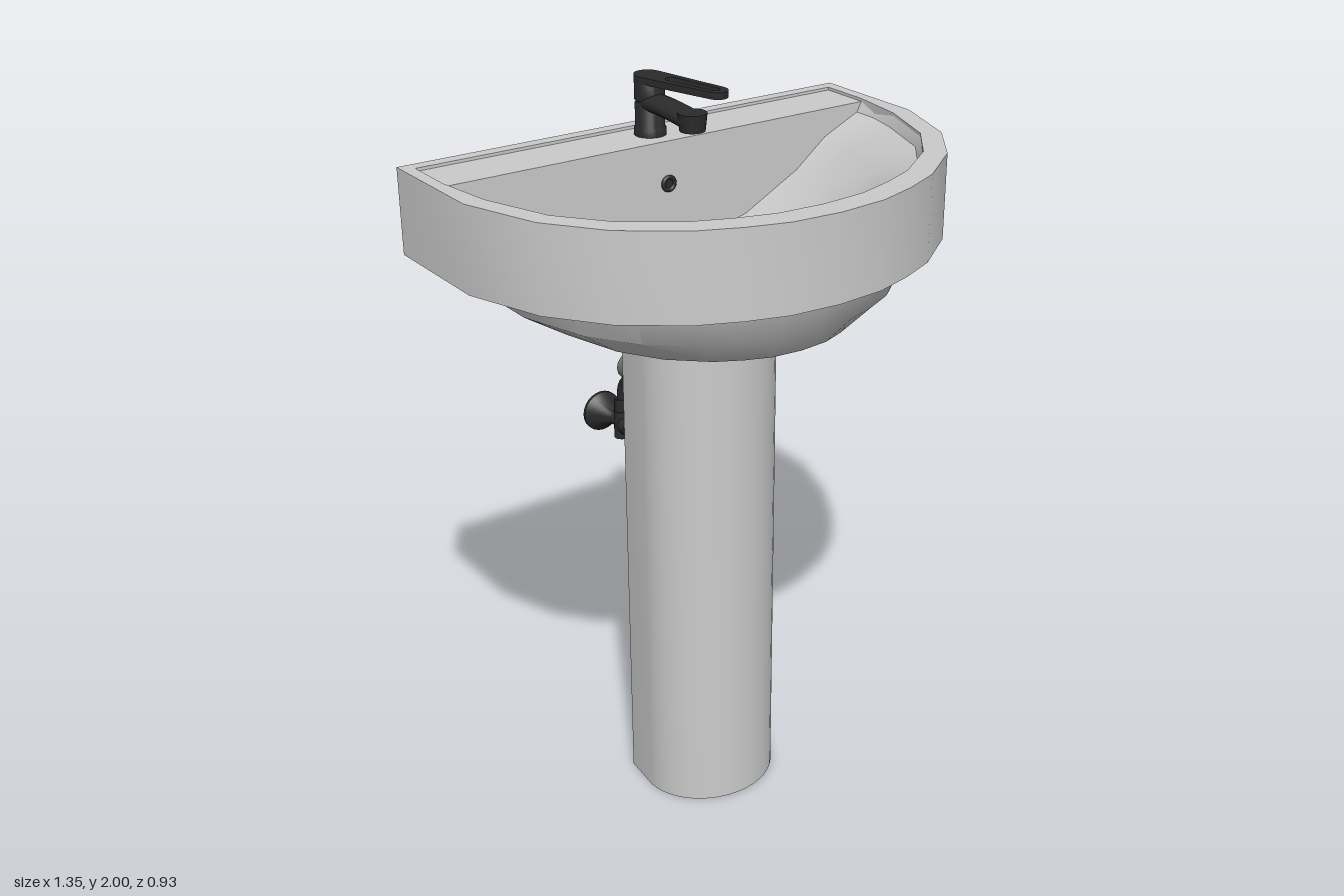
import * as THREE from 'three';
import { toCreasedNormals } from 'three/addons/utils/BufferGeometryUtils.js';

const V = (x, y, z) => new THREE.Vector3(x, y, z);
const ceramic = new THREE.MeshStandardMaterial({ color: 0xcccccc, side: THREE.DoubleSide });
const dark = new THREE.MeshStandardMaterial({ color: 0x2b2b2b, side: THREE.DoubleSide });
const pipeGrey = new THREE.MeshStandardMaterial({ color: 0x777777, side: THREE.DoubleSide });

// Half of the rounded front: [fraction of half width, fraction of front depth]
const FRONT = [[1, 0], [0.895, 0.38], [0.735, 0.64], [0.52, 0.835], [0.36, 0.92], [0.2, 0.98], [0, 1]];
const SIDE_Z = -0.09; // where the straight sides end

// D-shaped ring: straight back, straight sides, faceted curved front
function dRing(w, front, y, zs, backW = w) {
  const half = [...zs.map((z) => V(backW, y, z)),
    ...FRONT.map(([u, v]) => V(w * u, y, SIDE_Z + v * (front - SIDE_Z)))];
  const mirrored = half.slice(0, -1).reverse().map((p) => V(-p.x, p.y, p.z));
  return [...half, ...mirrored];
}

// Skin between closed rings, leaving out cells where skip(row, column) is true
function loft(rings, capped, skip = () => false) {
  const n = rings[0].length, index = [];
  const pos = rings.flatMap((r) => r.flatMap((p) => p.toArray()));
  for (let r = 0; r < rings.length - 1; r++) {
    for (let c = 0; c < n; c++) {
      if (skip(r, c)) continue;
      const a = r * n + c, b = r * n + (c + 1) % n;
      index.push(a, a + n, b, b, a + n, b + n);
    }
  }
  if (capped) {
    const last = rings.at(-1), mid = V(0, 0, 0);
    last.forEach((p) => mid.addScaledVector(p, 1 / n));
    pos.push(...mid.toArray());
    const base = (rings.length - 1) * n;
    for (let c = 0; c < n; c++) index.push(base + c, rings.length * n, base + (c + 1) % n);
  }
  const g = new THREE.BufferGeometry();
  g.setAttribute('position', new THREE.Float32BufferAttribute(pos, 3));
  g.setIndex(index);
  return toCreasedNormals(g, 0.5);
}

// Upright extrusion of a plan outline
function extrudePlan(points, holePoints, y, height) {
  const flat = (pts) => pts.map((p) => new THREE.Vector2(p.x, -p.z));
  const shape = new THREE.Shape(flat(points));
  if (holePoints) shape.holes.push(new THREE.Path(flat(holePoints)));
  const g = new THREE.ExtrudeGeometry(shape, { depth: height, bevelEnabled: false });
  g.rotateX(-Math.PI / 2).translate(0, y, 0);
  return toCreasedNormals(g, 0.55);
}

function tube(points, radius, segments = 40) {
  return new THREE.TubeGeometry(new THREE.CatmullRomCurve3(points), segments, radius, 14);
}

export function createModel() {
  const model = new THREE.Group();
  const add = (name, geometry, material, x = 0, y = 0, z = 0, parent = model) => {
    const m = new THREE.Mesh(geometry, material);
    m.name = name;
    m.position.set(x, y, z);
    parent.add(m);
    return m;
  };

  // Basin rim band
  const opening = dRing(0.618, 0.39, 0, [-0.395, -0.25], 0.64);
  add('basinRim', extrudePlan(dRing(0.673, 0.46, 0, [-0.43]), opening, 1.625, 0.225), ceramic);

  // Tap deck, slightly below the rim
  add('tapDeck', new THREE.BoxGeometry(1.28, 0.03, 0.15), ceramic, 0, 1.827, -0.325);

  // Bowl: half width, front, height, back half width
  const bowl = [
    [0.618, 0.39, 1.842, 0.64], [0.605, 0.38, 1.815, 0.625], [0.475, 0.31, 1.765, 0.515],
    [0.4, 0.24, 1.69, 0.42], [0.25, 0.12, 1.6, 0.25], [0.1, 0, 1.56, 0.1],
  ].map(([w, f, y, backW]) => dRing(w, f, y, [-0.25, -0.18], backW));
  add('bowl', loft(bowl, true), ceramic);
  add('overflowRing', new THREE.TorusGeometry(0.017, 0.006, 8, 20), dark, 0, 1.73, -0.247);
  add('overflowHole', new THREE.CircleGeometry(0.016, 20), dark, 0, 1.73, -0.246);

  // Underside shell, open at the bottom, with an access opening on the left side
  const underside = [
    [0.665, 0.45, 1.625, -0.42], [0.565, 0.415, 1.612, -0.36], [0.53, 0.385, 1.535, -0.36],
    [0.41, 0.32, 1.46, -0.36], [0.2, 0.085, 1.38, -0.36],
  ].map(([w, f, y, b]) => dRing(w, f, y, [b, -0.345, -0.205]));
  add('basinUnderside', loft(underside, false, (r, c) => r >= 2 && c === 1), ceramic);

  // Pedestal: thin U-shaped column open to the back
  const arc = (w, front) => Array.from({ length: 25 }, (_, i) => {
    const a = (i / 24) * Math.PI;
    return V(w * Math.cos(a), 0, -0.09 + (front + 0.09) * Math.sin(a));
  });
  const column = [V(0.183, 0, -0.205), ...arc(0.195, 0.085), V(-0.183, 0, -0.205),
    V(-0.167, 0, -0.205), ...arc(0.179, 0.069).reverse(), V(0.167, 0, -0.205)];
  add('pedestal', extrudePlan(column, null, 0, 1.39), ceramic);

  // Mixer tap
  const tap = new THREE.Group();
  tap.name = 'tap';
  tap.position.set(0, 1.84, -0.33);
  model.add(tap);
  const body = [[0, 0], [0.042, 0], [0.042, 0.02], [0.039, 0.025], [0.039, 0.085], [0.036, 0.09],
    [0.04, 0.096], [0.04, 0.14], [0.034, 0.15], [0, 0.15]].map(([x, y]) => new THREE.Vector2(x, y));
  add('tapBody', toCreasedNormals(new THREE.LatheGeometry(body, 28), 0.6), dark, 0, 0, 0, tap);
  const spout = tube([V(0, 0.09, 0), V(0, 0.088, 0.1), V(0, 0.08, 0.2)], 0.024, 12).scale(1.55, 1, 1);
  add('spout', spout, dark, 0, 0, 0, tap);
  add('spoutNozzle', new THREE.CylinderGeometry(0.038, 0.033, 0.046, 20), dark, 0, 0.079, 0.192, tap);

  // Looped lever turned to one side
  const lever = new THREE.Shape();
  lever.absarc(0, 0.205, 0.03, 0, Math.PI);
  lever.absarc(0, 0, 0.04, Math.PI, 2 * Math.PI);
  const slot = new THREE.Path();
  slot.absarc(0, 0.2, 0.013, 0, Math.PI);
  slot.absarc(0, 0.07, 0.017, Math.PI, 2 * Math.PI);
  lever.holes.push(slot);
  const leverGeo = new THREE.ExtrudeGeometry(lever, { depth: 0.018, bevelEnabled: false, curveSegments: 14 });
  leverGeo.rotateX(Math.PI / 2 + 0.05).rotateY(0.38);
  add('lever', toCreasedNormals(leverGeo, 0.6), dark, 0, 0.158, 0, tap);

  // Waste trap and wall pipe
  add('wastePipe', tube([V(0, 1.57, -0.12), V(0, 1.25, -0.12), V(0, 1.06, -0.125), V(0, 0.985, -0.16),
    V(0, 0.966, -0.22), V(0, 0.99, -0.28), V(0, 1.06, -0.31), V(0, 1.12, -0.345),
    V(0, 1.142, -0.4), V(0, 1.142, -0.465)], 0.039, 60), pipeGrey);

  // Supply hoses with shut-off valves, one on each side
  for (const s of [1, -1]) {
    const supply = new THREE.Group();
    supply.name = s > 0 ? 'leftSupply' : 'rightSupply';
    model.add(supply);
    const sway = s > 0 ? 0.03 : 0; // the two hoses bend differently
    add('hose', tube([V(s * 0.04, 1.6, -0.31), V(s * 0.08, 1.39, -0.295), V(s * 0.1, 1.31, -0.242 - sway),
      V(s * 0.11, 1.24, -0.25 - sway), V(s * 0.12, 1.17, -0.31), V(s * 0.12, 1.08, -0.32)], 0.011),
    dark, 0, 0, 0, supply);
    add('hoseNut', new THREE.CylinderGeometry(0.018, 0.018, 0.05, 6), dark, s * 0.12, 1.1, -0.32, supply);
    add('valveBody', new THREE.CylinderGeometry(0.02, 0.02, 0.08, 14), dark, s * 0.12, 1.05, -0.32, supply);
    const stem = new THREE.CylinderGeometry(0.015, 0.015, 0.1, 14).rotateX(Math.PI / 2);
    add('valveStem', stem, dark, s * 0.12, 1.05, -0.35, supply);
    const knob = new THREE.CylinderGeometry(0.024, 0.024, 0.03, 10).rotateX(Math.PI / 2);
    add('valveKnob', knob, dark, s * 0.12, 1.05, -0.29, supply);
    const flange = [[0.016, 0], [0.024, 0.02], [0.05, 0.055], [0.057, 0.062], [0.057, 0.07], [0, 0.07]]
      .map(([x, y]) => new THREE.Vector2(x, y));
    const flangeGeo = new THREE.LatheGeometry(flange, 24).rotateX(-Math.PI / 2);
    add('wallFlange', toCreasedNormals(flangeGeo, 0.7), dark, s * 0.12, 1.05, -0.355, supply);
  }
  return model;
}
